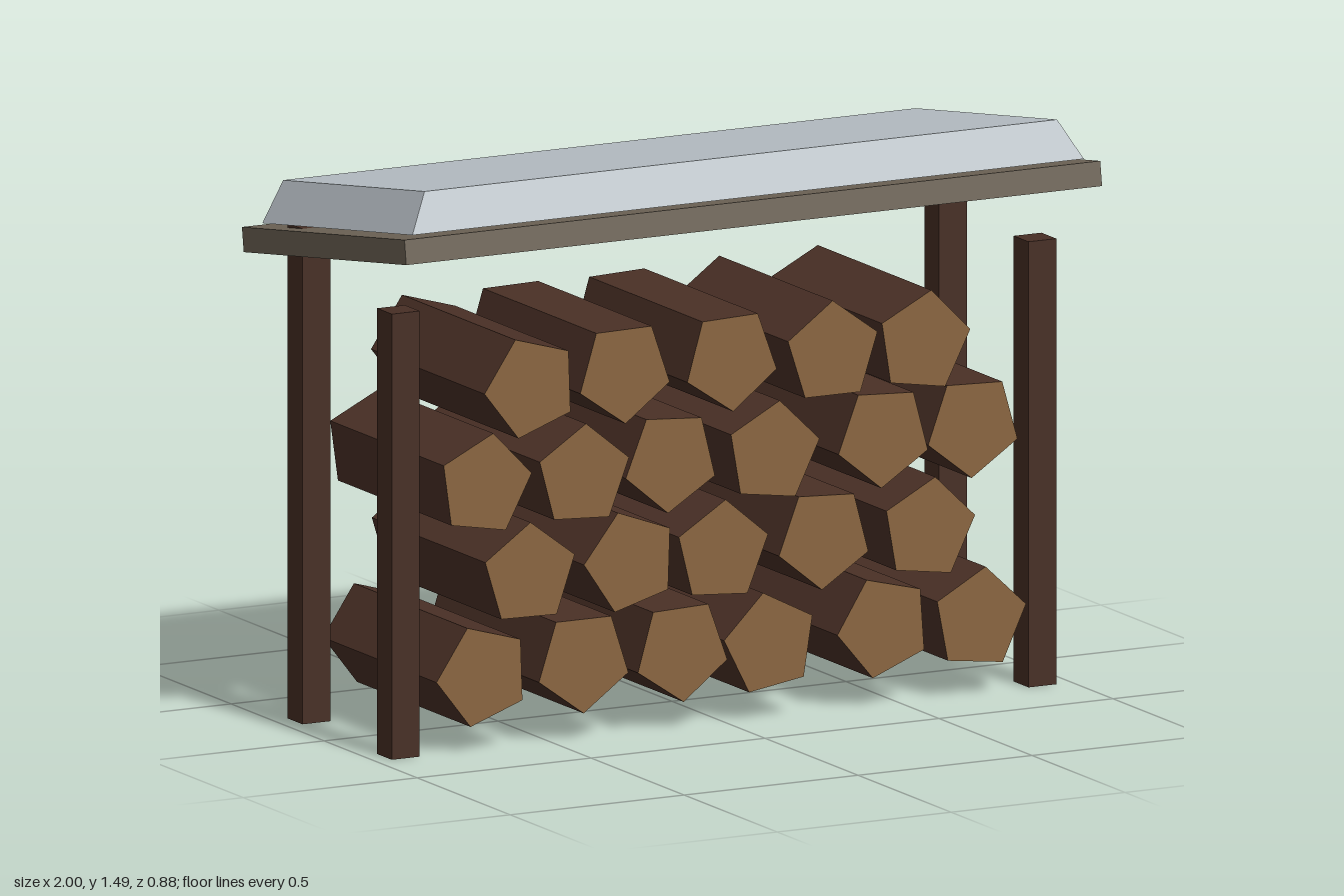
import * as THREE from 'three';

const mat = (name, color) => {
  const m = new THREE.MeshStandardMaterial({ color });
  m.name = name;
  return m;
};

export function createModel() {
  const postWood = mat('post wood', 0x472e24);
  const bark = mat('bark', 0x4a3026);
  const cutWood = mat('cut wood', 0x8a653f);
  const roofWood = mat('roof wood', 0x6e6456);
  const cover = mat('pale roof cover', 0xb9c1c7);

  const model = new THREE.Group();
  model.name = 'firewoodShelter';
  const add = (name, geo, material, parent = model) => {
    const mesh = new THREE.Mesh(geo, material);
    mesh.name = name;
    parent.add(mesh);
    return mesh;
  };
  // separate corners so every face is shaded flat
  const faceted = (geo) => {
    const g = geo.toNonIndexed();
    g.computeVertexNormals();
    return g;
  };

  // posts: the back pair reaches through the roof board
  for (const side of [-1, 1]) {
    for (const [name, z, h] of [['frontPost', 0.24, 1.156], ['backPost', -0.24, 1.285]]) {
      add(name, new THREE.BoxGeometry(0.08, h, 0.08), postWood).position.set(side * 0.915, h / 2, z);
    }
  }

  // sloping roof, higher at the front
  const roof = new THREE.Group();
  roof.name = 'roof';
  roof.position.y = 1.2835;
  roof.rotation.x = -0.152;
  model.add(roof);
  add('roofBoard', new THREE.BoxGeometry(2, 0.064, 0.884), roofWood, roof);

  // tapered cover: a four-sided frustum stretched to a rectangle
  const slab = new THREE.CylinderGeometry(0.942 * Math.SQRT2, Math.SQRT2, 0.105, 4);
  slab.rotateY(Math.PI / 4);
  slab.scale(0.965, 1, 0.408);
  add('roofCover', faceted(slab), cover, roof).position.set(0, 0.0925, 0.012);

  // five-sided logs, stacked in rows: x, y, angle of one corner in degrees
  const logs = [
    [-0.705, 0.198, 38], [-0.417, 0.205, 54], [-0.134, 0.205, 56],
    [0.12, 0.196, 27], [0.447, 0.207, 40], [0.722, 0.198, 11],
    [-0.572, 0.446, 17], [-0.281, 0.45, 34], [-0.018, 0.448, 14],
    [0.275, 0.455, 51], [0.575, 0.446, 10],
    [-0.70, 0.69, 8], [-0.417, 0.686, 15], [-0.165, 0.699, 50],
    [0.128, 0.69, 10], [0.446, 0.701, 51], [0.703, 0.701, 52],
    [-0.567, 0.932, 38], [-0.299, 0.944, 55], [0.008, 0.944, 56],
    [0.299, 0.932, 18], [0.561, 0.932, 9],
  ];
  const logGeo = faceted(new THREE.CylinderGeometry(0.135, 0.135, 0.61, 5).rotateX(Math.PI / 2));
  const stack = new THREE.Group();
  stack.name = 'logStack';
  model.add(stack);
  for (const [x, y, angle] of logs) {
    const log = add('log', logGeo, [bark, cutWood, cutWood], stack);
    log.position.set(x, y, 0);
    log.rotation.z = THREE.MathUtils.degToRad(angle - 54);
  }

  return model;
}
